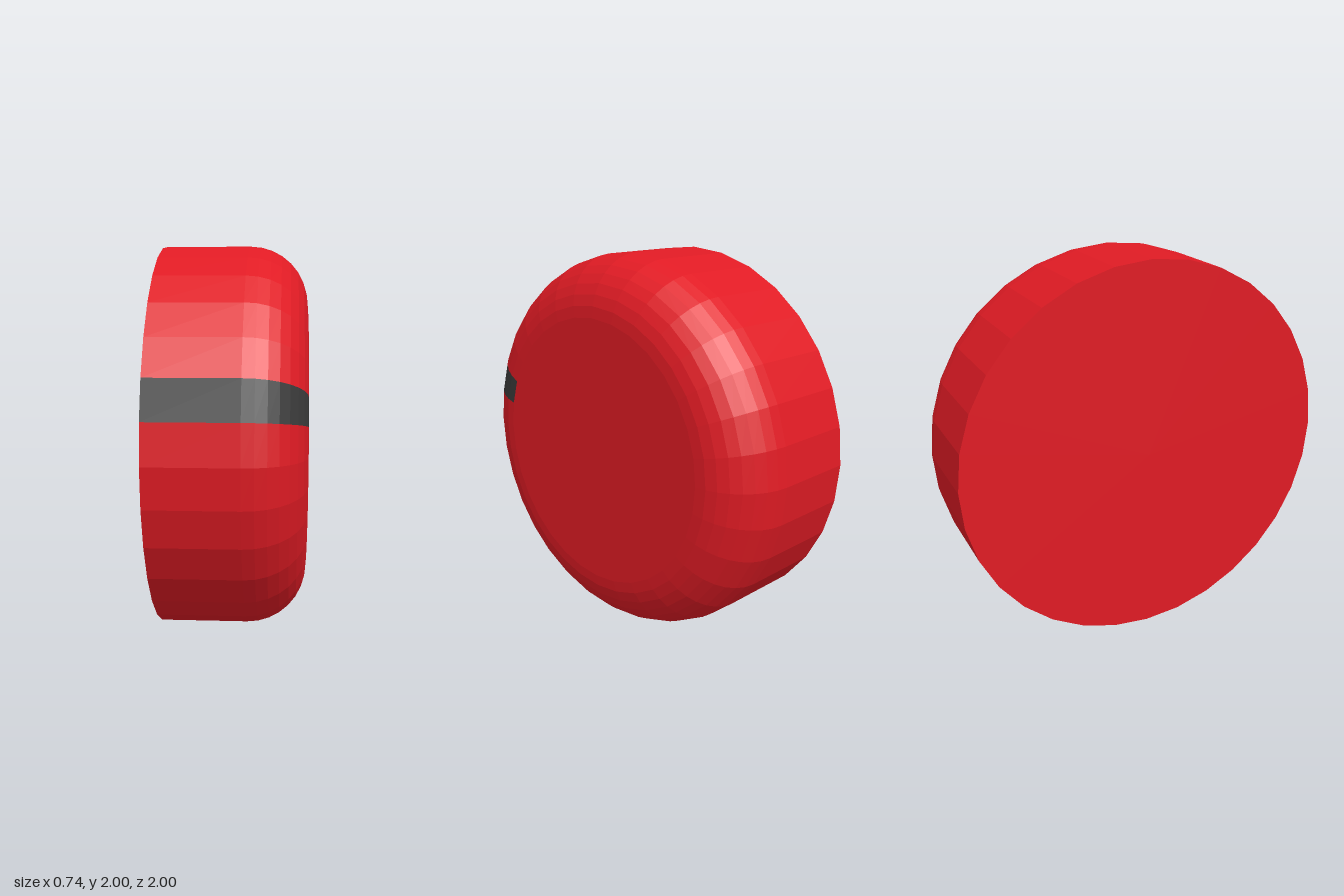
import * as THREE from 'three';

const SIDES = 32, STEP = (Math.PI * 2) / SIDES;
const RADIUS = 1, HALF = 0.37, FILLET = 0.3;

export function createModel() {
  const model = new THREE.Group();
  model.name = 'roundedKnob';
  const red = new THREE.MeshStandardMaterial({ color: 0xe01b24, flatShading: true });
  const dark = new THREE.MeshStandardMaterial({ color: 0x3a3a3a, flatShading: true });

  // Straight wall followed by a quarter-round edge
  const profile = [new THREE.Vector2(RADIUS, -HALF)];
  for (let i = 0; i <= 8; i++) {
    const a = (i / 8) * (Math.PI / 2);
    profile.push(new THREE.Vector2(
      RADIUS - FILLET + FILLET * Math.cos(a),
      HALF - FILLET + FILLET * Math.sin(a)));
  }

  const add = (name, geometry, material) => {
    const mesh = new THREE.Mesh(geometry, material);
    mesh.name = name;
    mesh.position.y = RADIUS;
    model.add(mesh);
    return mesh;
  };

  // Wall covering a number of sides, its axis turned to +x
  const wall = (name, firstSide, sides, material) =>
    add(name, new THREE.LatheGeometry(profile, sides, firstSide * STEP, sides * STEP)
      .rotateZ(-Math.PI / 2), material);

  wall('body', -1, SIDES - 1, red);
  wall('indicatorStripe', -2, 1, dark);

  // Flat end faces
  const face = (name, radius, side) => {
    add(name, new THREE.CircleGeometry(radius, SIDES).rotateY(side * Math.PI / 2), red)
      .position.x = side * HALF;
  };
  face('outerFace', RADIUS - FILLET, 1);
  face('backFace', RADIUS, -1);

  return model;
}
